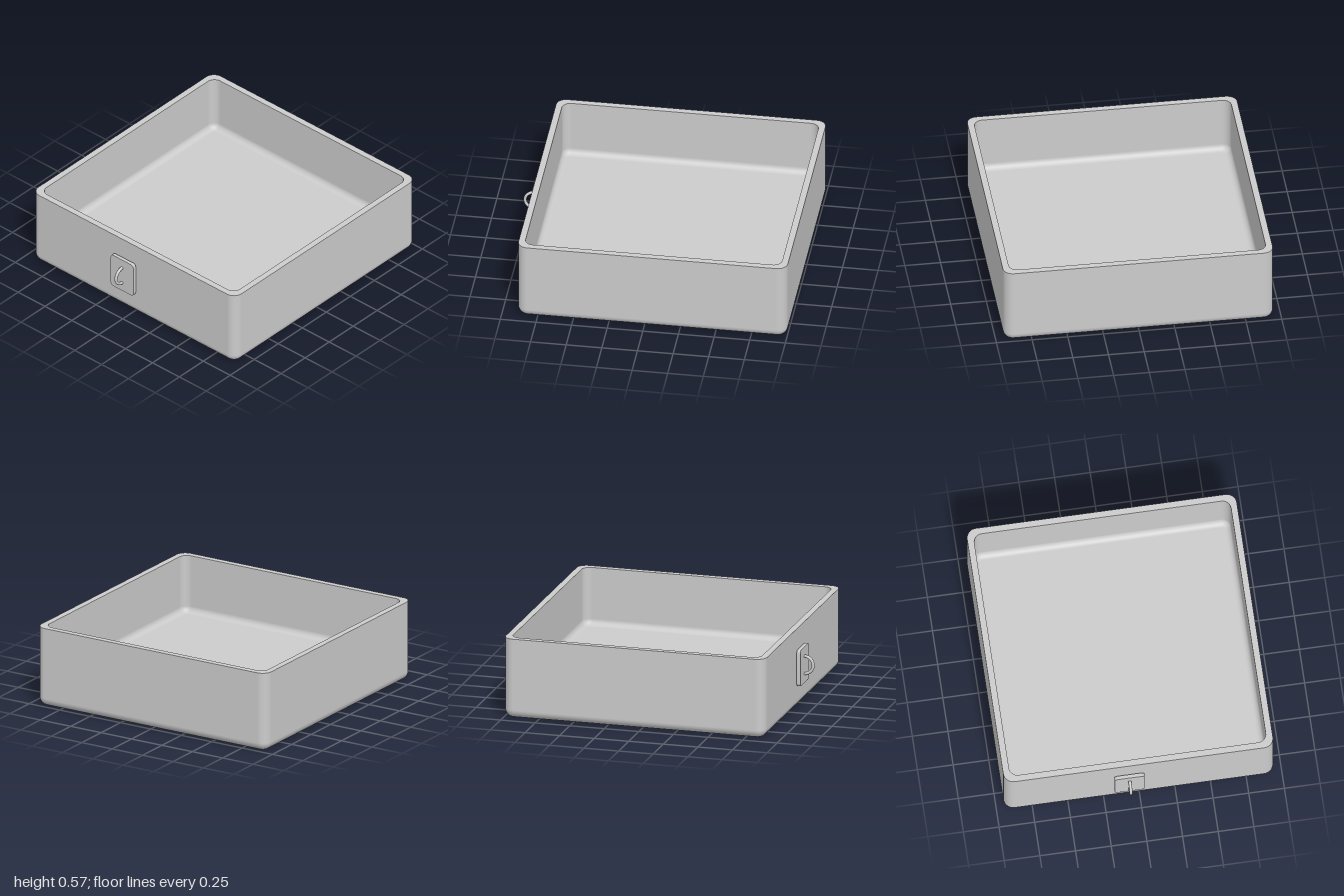
import * as THREE from 'three';
import { toCreasedNormals } from 'three/addons/utils/BufferGeometryUtils.js';

const HALF = 0.945, HEIGHT = 0.575, WALL = 0.045, FLOOR = 0.16;
const OUTER_R = 0.07, BASE_R = 0.06, INNER_R = 0.06, FLOOR_R = 0.045;
const STEPS = 8;

// Rounded-square loops swept through rows of { inset, y, corner, nh, nv },
// where nh and nv are the horizontal and vertical parts of the normal
function sweepRoundedSquare(rows) {
  const positions = [], normals = [], index = [];
  const count = 4 * (STEPS + 1);
  for (const { inset, y, corner, nh, nv } of rows) {
    const reach = HALF - inset - corner;
    for (let q = 0; q < 4; q++) {
      const mid = (q + 0.5) * Math.PI / 2;
      const cx = Math.sign(Math.cos(mid)) * reach, cz = Math.sign(Math.sin(mid)) * reach;
      for (let s = 0; s <= STEPS; s++) {
        const t = (q + s / STEPS) * Math.PI / 2;
        positions.push(cx + corner * Math.cos(t), y, cz + corner * Math.sin(t));
        normals.push(nh * Math.cos(t), nv, nh * Math.sin(t));
      }
    }
  }
  for (let i = 0; i < rows.length - 1; i++) {
    for (let j = 0; j < count; j++) {
      const a = i * count + j, b = i * count + (j + 1) % count;
      index.push(a, a + count, b, b, a + count, b + count);
    }
  }
  const geometry = new THREE.BufferGeometry();
  geometry.setAttribute('position', new THREE.Float32BufferAttribute(positions, 3));
  geometry.setAttribute('normal', new THREE.Float32BufferAttribute(normals, 3));
  geometry.setIndex(index);
  return geometry;
}

function trayGeometry() {
  const rows = [];
  const row = (inset, y, corner, nh, nv) => rows.push({ inset, y, corner, nh, nv });
  // underside and rounded lower edge
  row(HALF, 0, 0, 0, -1);
  for (let s = 0; s <= STEPS; s++) {
    const t = s / STEPS * Math.PI / 2, out = Math.sin(t), down = Math.cos(t);
    const inset = BASE_R * (1 - out);
    row(inset, BASE_R * (1 - down), OUTER_R - inset, out, -down);
  }
  // outer wall, flat rim, inner wall
  row(0, HEIGHT, OUTER_R, 1, 0);
  row(0, HEIGHT, OUTER_R, 0, 1);
  row(WALL, HEIGHT, INNER_R, 0, 1);
  row(WALL, HEIGHT, INNER_R, -1, 0);
  // rounded edge down to the raised floor
  for (let s = 0; s <= STEPS; s++) {
    const t = s / STEPS * Math.PI / 2, c = Math.cos(t), d = Math.sin(t);
    const inset = FLOOR_R * (1 - c);
    row(WALL + inset, FLOOR + FLOOR_R * (1 - d), INNER_R - inset, -c, d);
  }
  row(HALF, FLOOR, 0, 0, 1);
  return sweepRoundedSquare(rows);
}

function plateGeometry(w, h, depth, r) {
  const x = w / 2 - r, y = h / 2 - r, q = Math.PI / 2;
  const shape = new THREE.Shape();
  shape.absarc(x, y, r, 0, q);
  shape.absarc(-x, y, r, q, 2 * q);
  shape.absarc(-x, -y, r, 2 * q, 3 * q);
  shape.absarc(x, -y, r, 3 * q, 4 * q);
  const geometry = new THREE.ExtrudeGeometry(shape, { depth, bevelEnabled: false, curveSegments: 6 });
  return toCreasedNormals(geometry, 0.6);
}

export function createModel() {
  const group = new THREE.Group();
  const material = new THREE.MeshStandardMaterial({ color: 0xcccccc });
  const add = (name, geometry, x, y, z, parent = group) => {
    const mesh = new THREE.Mesh(geometry, material);
    mesh.name = name;
    mesh.position.set(x, y, z);
    parent.add(mesh);
  };

  // open tray, set back to leave room for the handle
  add('tray', trayGeometry(), 0, 0, -0.054);

  // handle: a thin plate just clear of the front wall with a half-ring pull
  const handle = new THREE.Group();
  handle.name = 'handle';
  handle.position.set(-0.073, 0.298, 0);
  group.add(handle);
  add('handlePlate', plateGeometry(0.21, 0.262, 0.026, 0.022), 0, 0, 0.9, handle);
  const ring = new THREE.TorusGeometry(0.063, 0.011, 12, 32, Math.PI);
  ring.rotateZ(-Math.PI / 2).rotateY(-Math.PI / 2);
  add('handleRing', ring, 0, 0, 0.925, handle);

  return group;
}
